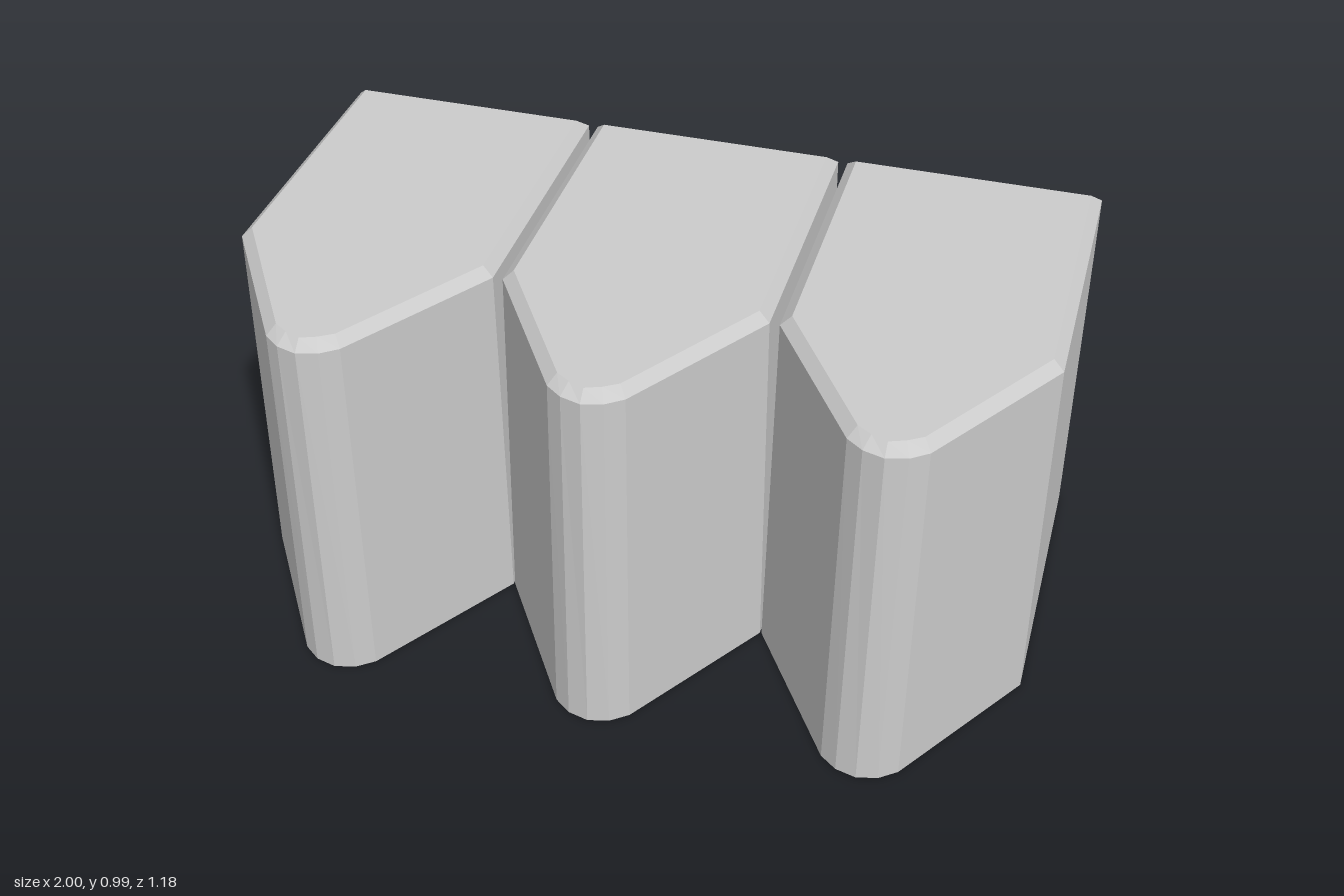
import * as THREE from 'three';

// Horizontal cross-section of one block: square back, pointed front with a blunted tip.
function section(y, w, back, shoulder, tip) {
  const right = [[w, -back], [w, shoulder], ...tip];
  const left = right.filter(([x]) => x > 0).reverse().map(([x, z]) => [-x, z]);
  return [...right, ...left].map(([x, z]) => new THREE.Vector3(x, y, z));
}

// Loft through the sections, closed with a fan at each end.
function loft(rings) {
  const pts = [];
  const n = rings[0].length;
  for (let r = 0; r < rings.length - 1; r++) {
    for (let i = 0; i < n; i++) {
      const j = (i + 1) % n;
      const a = rings[r][i], b = rings[r][j], A = rings[r + 1][i], B = rings[r + 1][j];
      pts.push(a, b, B, a, B, A);
    }
  }
  // The outline runs clockwise seen from above, so sides are flipped here.
  for (let k = 0; k < pts.length; k += 3) [pts[k + 1], pts[k + 2]] = [pts[k + 2], pts[k + 1]];
  const bottom = rings[0], top = rings[rings.length - 1];
  for (let i = 1; i < n - 1; i++) {
    pts.push(bottom[0], bottom[i], bottom[i + 1]);
    pts.push(top[0], top[i + 1], top[i]);
  }
  const geometry = new THREE.BufferGeometry().setFromPoints(pts);
  geometry.computeVertexNormals();
  return geometry;
}

export function createModel() {
  const model = new THREE.Group();
  model.name = 'pointedBlockRow';
  const material = new THREE.MeshStandardMaterial({ color: 0xcccccc, flatShading: true });

  // Slightly tapered body with a chamfered top edge
  const geometry = loft([
    section(0, 0.332, 0.588, 0.172, [[0.094, 0.543], [0.052, 0.575], [0, 0.588]]),
    section(0.965, 0.322, 0.577, 0.168, [[0.09, 0.533], [0.05, 0.563], [0, 0.577]]),
    section(0.99, 0.296, 0.55, 0.16, [[0.072, 0.513], [0.038, 0.535], [0, 0.55]]),
  ]);

  // Three blocks side by side, nearly touching at the base
  ['rightBlock', 'middleBlock', 'leftBlock'].forEach((name, i) => {
    const block = new THREE.Mesh(geometry, material);
    block.name = name;
    block.position.x = (i - 1) * 0.668;
    model.add(block);
  });
  return model;
}
